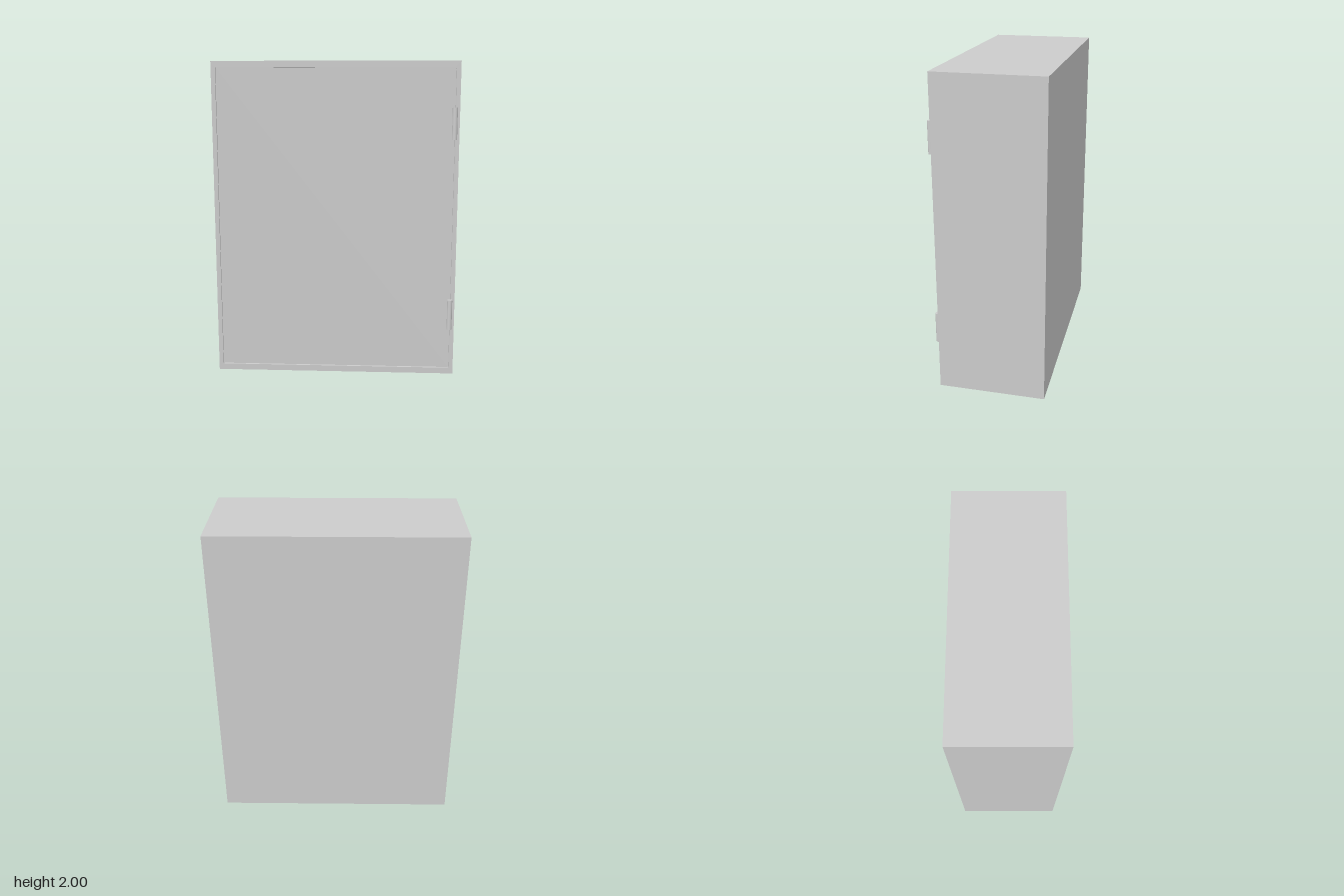
import * as THREE from 'three';

const W = 1.532, H = 2, BACK = -0.348, FRONT = 0.323;
const material = new THREE.MeshStandardMaterial({ color: 0xcccccc });

// Rectangle with rounded corners, centred on x = 0 and y = H / 2
function roundedRect(path, w, h, r) {
  const x = w / 2, y0 = (H - h) / 2, y1 = (H + h) / 2;
  path.moveTo(-x + r, y0);
  path.lineTo(x - r, y0);
  path.absarc(x - r, y0 + r, r, -Math.PI / 2, 0);
  path.lineTo(x, y1 - r);
  path.absarc(x - r, y1 - r, r, 0, Math.PI / 2);
  path.lineTo(-x + r, y1);
  path.absarc(-x + r, y1 - r, r, Math.PI / 2, Math.PI);
  path.lineTo(-x, y0 + r);
  path.absarc(-x + r, y0 + r, r, Math.PI, Math.PI * 1.5);
  return path;
}

export function createModel() {
  const group = new THREE.Group();
  const add = (name, geometry, x, y, z) => {
    const mesh = new THREE.Mesh(geometry, material);
    mesh.name = name;
    mesh.position.set(x, y, z);
    group.add(mesh);
  };
  const extrude = (shape, depth) =>
    new THREE.ExtrudeGeometry(shape, { depth, bevelEnabled: false, curveSegments: 4 });

  // Case walls: a rectangular tube whose opening holds the door
  const walls = new THREE.Shape([
    new THREE.Vector2(-W / 2, 0), new THREE.Vector2(W / 2, 0),
    new THREE.Vector2(W / 2, H), new THREE.Vector2(-W / 2, H),
  ]);
  walls.holes.push(roundedRect(new THREE.Path(), 1.478, 1.922, 0.01));
  const backThickness = 0.03;
  add('caseWalls', extrude(walls, FRONT - BACK - backThickness), 0, 0, BACK + backThickness);

  // Back panel
  add('backPanel', new THREE.BoxGeometry(W, H, backThickness), 0, H / 2, BACK + backThickness / 2);

  // Door, set slightly into the opening
  const doorThickness = 0.03, recess = 0.013;
  add('door', extrude(roundedRect(new THREE.Shape(), 1.478, 1.922, 0.01), doorThickness),
    0, 0, FRONT - recess - doorThickness);

  // Hinge barrels
  for (const y of [0.403, 1.622]) {
    add('hinge', new THREE.CylinderGeometry(0.016, 0.016, 0.196, 16), 0.735, y, 0.332);
  }
  return group;
}
